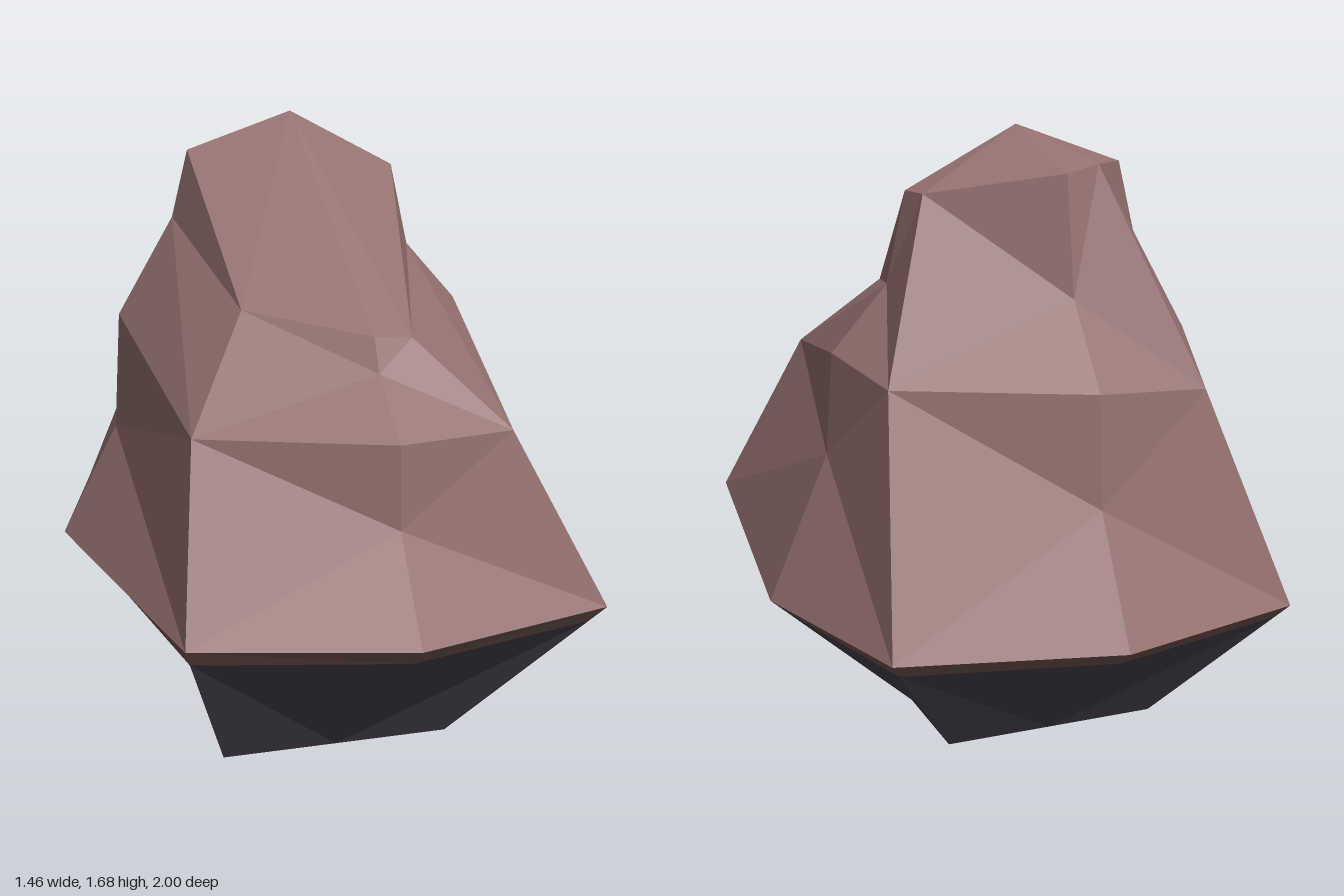
import * as THREE from 'three';

// Eight columns run counter-clockwise from the front: even ones are side
// middles (front, left, back, right), odd ones are the corners between them.
const rim = [
  [0, 0.43, 1], [0.58, 0.43, 0.84], [0.73, 0.4, -0.27], [0.58, 0.4, -0.85],
  [0, 0.4, -1], [-0.57, 0.4, -0.85], [-0.73, 0.4, -0.27], [-0.57, 0.43, 0.84],
];
const foot = [
  [-0.1, 0, 0.58], [0.22, 0, 0.58], [0.32, 0.04, -0.27], [0.33, 0.04, -0.59],
  [0.03, 0.04, -0.59], [-0.28, 0.04, -0.59], [-0.27, 0.04, -0.27], [-0.42, 0, 0.58],
];
// Points above the rim: middles have four, corners two
const middles = [
  [[0, 0.69, 0.82], [0, 0.915, 0.81], [0, 1.06, 0.63], [0, 1.15, 0.585]],
  [[0.56, 0.8, -0.27], [0.54, 1.08, -0.27], [0.38, 1.26, -0.27], [0.325, 1.51, -0.27]],
  [[0, 0.73, -0.83], [0, 1.03, -0.81], [0, 1.25, -0.65], [0, 1.57, -0.6]],
  [[-0.56, 0.73, -0.27], [-0.54, 1.08, -0.27], [-0.37, 1.37, -0.27], [-0.32, 1.57, -0.27]],
];
const corners = [
  [[0.325, 0.92, 0.765], [0.11, 1.14, 0.57]],
  [[0.495, 1.04, -0.6], [0.315, 1.51, -0.38]],
  [[-0.33, 1.01, -0.77], [-0.1, 1.59, -0.58]],
  [[-0.495, 0.91, 0.59], [-0.31, 1.2, 0.38]],
];
const peak = [0, 1.68, -0.27];
const footCentre = [0, 0.04, -0.27];

function facetMesh(name, triangles, material) {
  const geometry = new THREE.BufferGeometry();
  geometry.setAttribute('position', new THREE.Float32BufferAttribute(triangles.flat(2), 3));
  geometry.computeVertexNormals();
  const mesh = new THREE.Mesh(geometry, material);
  mesh.name = name;
  return mesh;
}

// Wall of triangles between two rings
function wall(lower, upper) {
  const out = [];
  for (let i = 0; i < 8; i++) {
    const j = (i + 1) % 8;
    if (i % 2) out.push([lower[i], lower[j], upper[i]], [lower[j], upper[j], upper[i]]);
    else out.push([lower[i], lower[j], upper[j]], [lower[i], upper[j], upper[i]]);
  }
  return out;
}

export function createModel() {
  const paint = (name, color) => {
    const m = new THREE.MeshStandardMaterial({ color });
    m.name = name;
    m.flatShading = true;
    return m;
  };
  const stone = paint('rosy stone', 0x957270);
  const edge = paint('brown edge', 0x765852);
  const shade = paint('dark slate', 0x4a4350);

  // Upper rock: each corner column is stitched to the middle on either side
  const upper = [];
  for (let c = 0; c < 4; c++) {
    const k = 2 * c + 1;
    const C = [rim[k], ...corners[c]];
    for (const [m, flip] of [[(c + 1) % 4, false], [c, true]]) {
      const M = [rim[2 * m], ...middles[m]];
      const strip = [
        [C[0], M[0], M[1]], [C[0], M[1], C[1]], [C[1], M[1], M[2]],
        [C[1], M[2], M[3]], [C[1], M[3], C[2]], [C[2], M[3], M[4]],
        [C[2], M[4], peak],
      ];
      for (const t of strip) upper.push(flip ? [t[0], t[2], t[1]] : t);
    }
  }

  // Underside: thin edge band, sloping dark flanks and a flat foot
  const bandLow = rim.map((p, i) => p.map((v, a) => v + (foot[i][a] - v) * 0.11));
  const under = wall(foot, bandLow);
  for (let i = 0; i < 8; i++) under.push([footCentre, foot[(i + 1) % 8], foot[i]]);

  const rock = new THREE.Group();
  rock.name = 'rock';
  rock.add(
    facetMesh('upperRock', upper, stone),
    facetMesh('edgeBand', wall(bandLow, rim), edge),
    facetMesh('underside', under, shade),
  );
  return rock;
}
